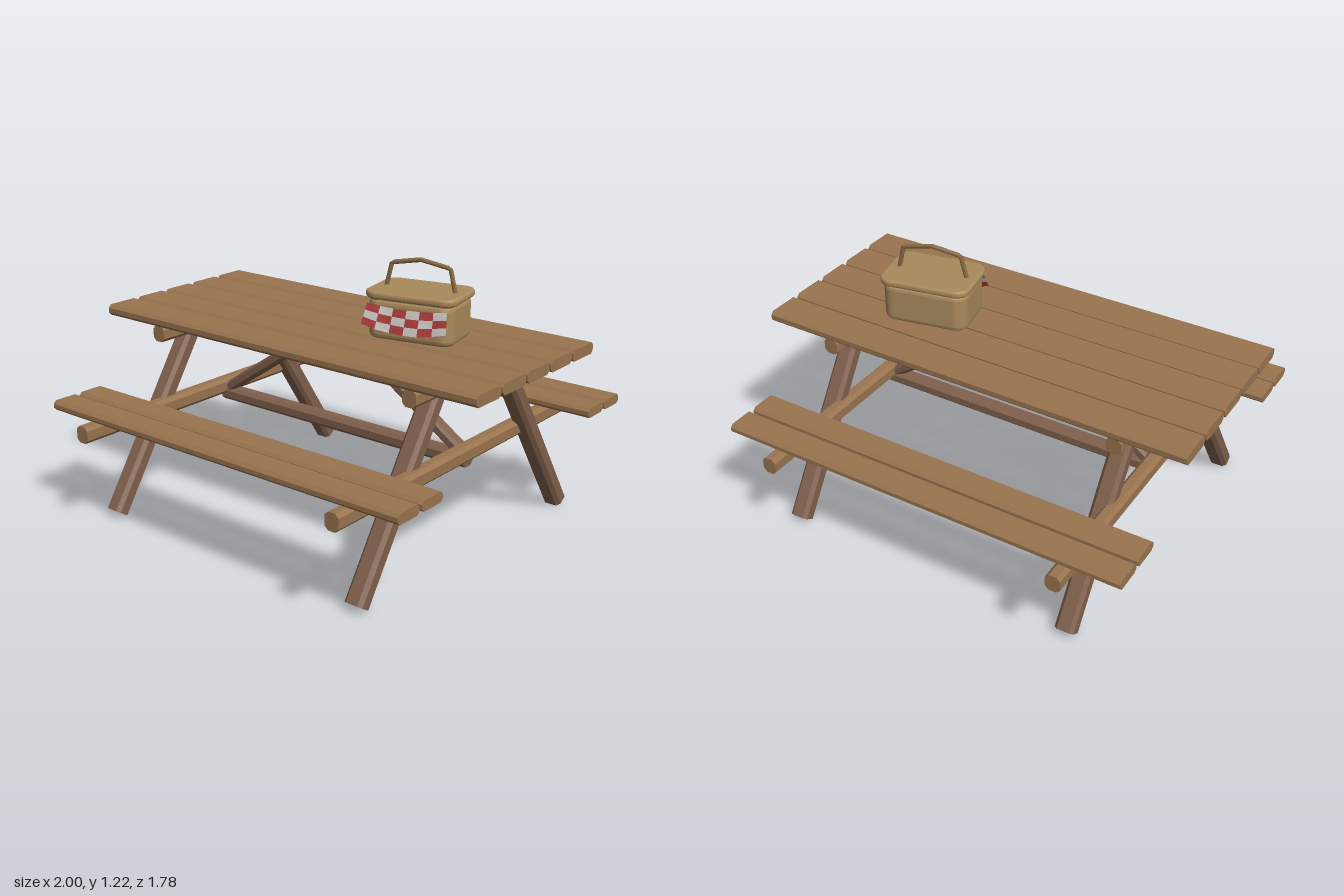
import * as THREE from 'three';

const mat = (color) => new THREE.MeshStandardMaterial({ color });

// Timber with a chamfered section, running from p to q
function timber(name, p, q, w, h, c, material) {
  const a = w / 2, b = h / 2;
  const section = new THREE.Shape([
    [a - c, -b], [a, c - b], [a, b - c], [a - c, b],
    [c - a, b], [-a, b - c], [-a, c - b], [c - a, -b],
  ].map(([x, y]) => new THREE.Vector2(x, y)));
  const from = new THREE.Vector3(...p), to = new THREE.Vector3(...q);
  const geo = new THREE.ExtrudeGeometry(section, { depth: from.distanceTo(to), bevelEnabled: false });
  const mesh = new THREE.Mesh(geo, material);
  mesh.name = name;
  mesh.position.copy(from);
  mesh.lookAt(to);
  return mesh;
}

// Upright block with rounded corners in plan and softened top and bottom edges
function roundedSlab(name, w, d, h, r, bevel, y, material) {
  const a = w / 2 - bevel, b = d / 2 - bevel;
  const s = new THREE.Shape();
  s.moveTo(-a + r, -b);
  s.lineTo(a - r, -b).absarc(a - r, -b + r, r, -Math.PI / 2, 0);
  s.lineTo(a, b - r).absarc(a - r, b - r, r, 0, Math.PI / 2);
  s.lineTo(-a + r, b).absarc(-a + r, b - r, r, Math.PI / 2, Math.PI);
  s.lineTo(-a, -b + r).absarc(-a + r, -b + r, r, Math.PI, Math.PI * 1.5);
  const geo = new THREE.ExtrudeGeometry(s, {
    depth: h - 2 * bevel, bevelSize: bevel, bevelThickness: bevel, bevelSegments: 3, curveSegments: 5,
  });
  geo.rotateX(-Math.PI / 2).translate(0, y + bevel, 0);
  const mesh = new THREE.Mesh(geo, material);
  mesh.name = name;
  return mesh;
}

// Alternate squares of the hanging cloth; parity picks the colour
function clothSquares(name, parity, material) {
  const cols = 6, rows = 3, pos = [];
  const point = (i, j) => {
    const u = (i / cols) * 2 - 1, v = j / rows;
    const sag = 1 - u * u;
    return [
      u * (0.178 + 0.012 * v),
      1.042 - 0.012 * sag - v * (0.083 + 0.015 * sag),
      0.138 + 0.036 * v + 0.004 * Math.sin(i * 2.1) * v,
    ];
  };
  for (let i = 0; i < cols; i++) {
    for (let j = 0; j < rows; j++) {
      if ((i + j) % 2 !== parity) continue;
      const a = point(i, j), b = point(i, j + 1), c = point(i + 1, j + 1), d = point(i + 1, j);
      pos.push(...a, ...b, ...c, ...a, ...c, ...d);
    }
  }
  const geo = new THREE.BufferGeometry();
  geo.setAttribute('position', new THREE.Float32BufferAttribute(pos, 3));
  geo.computeVertexNormals();
  material.side = THREE.DoubleSide;
  const mesh = new THREE.Mesh(geo, material);
  mesh.name = name;
  return mesh;
}

function createBasket() {
  const basket = new THREE.Group();
  basket.name = 'picnicBasket';
  const wicker = mat(0xa98a5c), trim = mat(0x8a6b45);
  basket.add(roundedSlab('basketBody', 0.385, 0.262, 0.172, 0.035, 0.022, 0.888, wicker));
  basket.add(roundedSlab('basketRim', 0.37, 0.245, 0.02, 0.04, 0.004, 1.048, trim));
  basket.add(roundedSlab('basketLid', 0.412, 0.284, 0.032, 0.05, 0.012, 1.06, wicker));

  // Angular carrying handle
  const path = new THREE.CurvePath();
  const pts = [[-0.158, 1.08], [-0.132, 1.19], [0, 1.214], [0.132, 1.19], [0.158, 1.08]]
    .map(([x, y]) => new THREE.Vector3(x, y, 0));
  for (let i = 0; i < pts.length - 1; i++) path.add(new THREE.LineCurve3(pts[i], pts[i + 1]));
  const handle = new THREE.Mesh(new THREE.TubeGeometry(path, 32, 0.01, 8), trim);
  handle.name = 'basketHandle';
  basket.add(handle);

  basket.add(clothSquares('clothRedSquares', 0, mat(0xa83a3a)));
  basket.add(clothSquares('clothWhiteSquares', 1, mat(0xc8c4c0)));
  basket.position.set(0.388, 0, -0.062);
  basket.rotation.y = 0.2;
  return basket;
}

export function createModel() {
  const model = new THREE.Group();
  model.name = 'picnicTable';
  const plank = mat(0x99744f), beam = mat(0x99744f), dark = mat(0x80604c);

  // Table top
  for (let i = -2; i <= 2; i++) {
    const z = i * 0.178;
    model.add(timber('topPlank', [-1, 0.865, z], [1, 0.865, z], 0.166, 0.05, 0.014, plank));
  }

  // Benches
  for (const side of [-1, 1]) {
    for (const d of [0.621, 0.767]) {
      const z = side * d;
      model.add(timber('seatPlank', [-0.942, 0.522, z], [0.942, 0.522, z], 0.132, 0.044, 0.013, plank));
    }
  }

  // End frames: cross beams, crossed legs and a diagonal brace
  for (const s of [-1, 1]) {
    const x = s * 0.688;
    model.add(timber('topBeam', [x, 0.806, -0.425], [x, 0.806, 0.425], 0.066, 0.072, 0.016, beam));
    model.add(timber('seatBeam', [x, 0.463, -0.89], [x, 0.463, 0.89], 0.066, 0.075, 0.016, beam));
    for (const side of [-1, 1]) {
      const lx = x - side * 0.041;
      model.add(timber('leg', [lx, 0.021, side * 0.69], [lx, 0.822, side * 0.16], 0.088, 0.076, 0.016, dark));
    }
    model.add(timber('brace', [s * 0.67, 0.448, 0], [s * 0.137, 0.804, 0], 0.064, 0.05, 0.012, dark));
  }

  // Long stretcher between the end frames
  model.add(timber('stretcher', [-0.69, 0.424, 0], [0.69, 0.424, 0], 0.07, 0.064, 0.016, dark));

  model.add(createBasket());
  return model;
}
